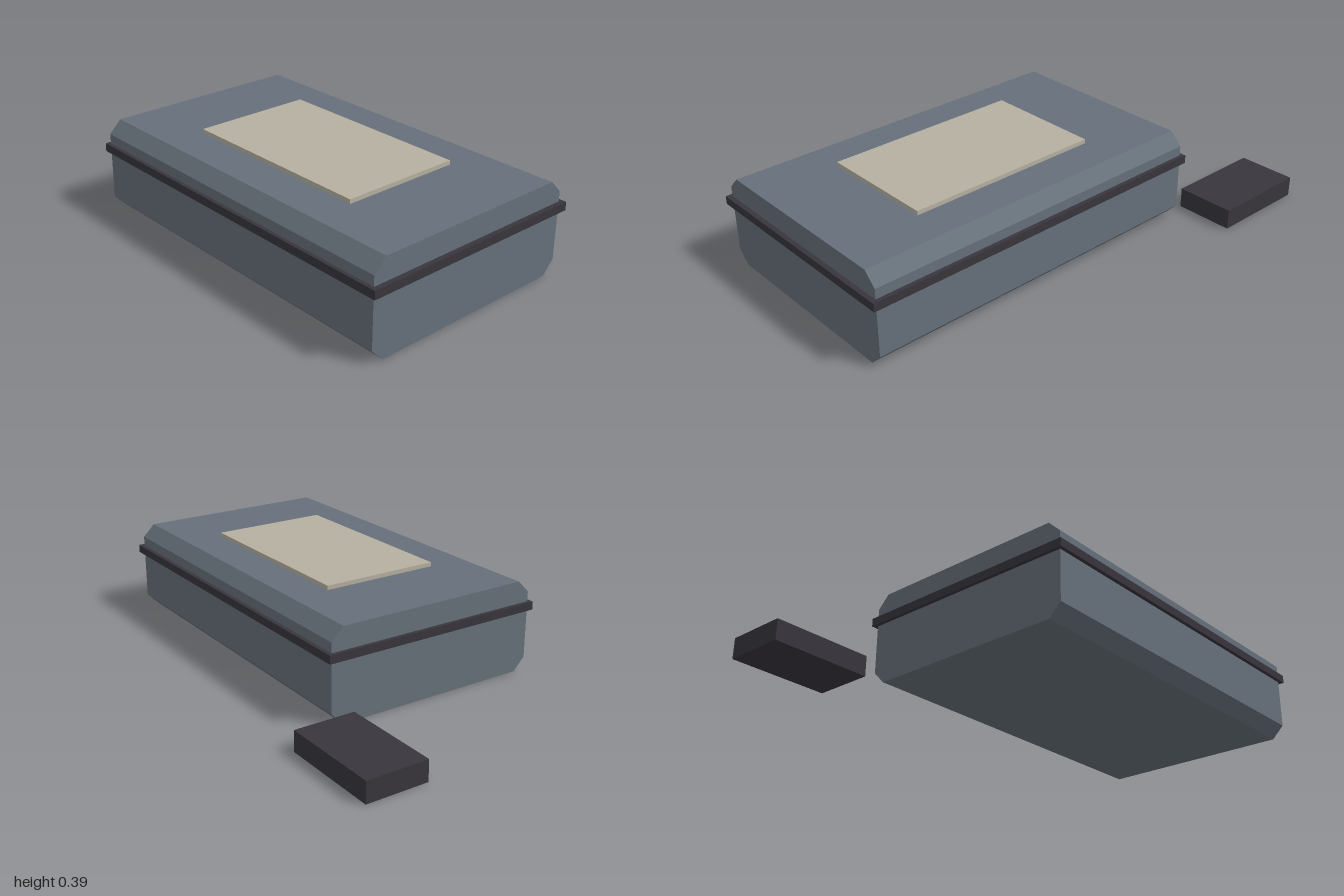
import * as THREE from 'three';

const mat = (name, color) => {
  const m = new THREE.MeshStandardMaterial({ color });
  m.name = name;
  return m;
};

export function createModel() {
  const shell = mat('slate grey', 0x66707a);
  const dark = mat('charcoal', 0x38353c);
  const cream = mat('warm beige', 0xb5b0a0);
  const model = new THREE.Group();
  model.name = 'case';

  // Box given by its lower and upper corners
  const box = (name, material, [x0, y0, z0], [x1, y1, z1]) => {
    const mesh = new THREE.Mesh(new THREE.BoxGeometry(x1 - x0, y1 - y0, z1 - z0), material);
    mesh.position.set((x0 + x1) / 2, (y0 + y1) / 2, (z0 + z1) / 2);
    mesh.name = name;
    model.add(mesh);
  };

  // Case body: chamfered section in z and y, extruded along x
  const back = -0.36, front = 0.552, top = 0.373, c = 0.05;
  const section = new THREE.Shape([
    [-front + c, 0], [-back - c, 0], [-back, c], [-back, top - c],
    [-back - c, top], [-front + c, top], [-front, top - c], [-front, c],
  ].map(([x, y]) => new THREE.Vector2(x, y)));
  const geometry = new THREE.ExtrudeGeometry(section, { depth: 1.488, bevelEnabled: false });
  geometry.rotateY(Math.PI / 2);
  const body = new THREE.Mesh(geometry, shell);
  body.position.x = -0.508;
  body.name = 'caseBody';
  model.add(body);

  // Band around the lid seam
  box('seamBand', dark, [-0.523, 0.25, -0.377], [1, 0.283, 0.567]);

  // Label plate on the lid
  box('lidPlate', cream, [-0.176, 0.365, -0.153], [0.646, 0.39, 0.34]);

  // Separate small block behind the case
  box('smallBlock', dark, [-1, 0, -0.567], [-0.588, 0.083, -0.32]);

  return model;
}
